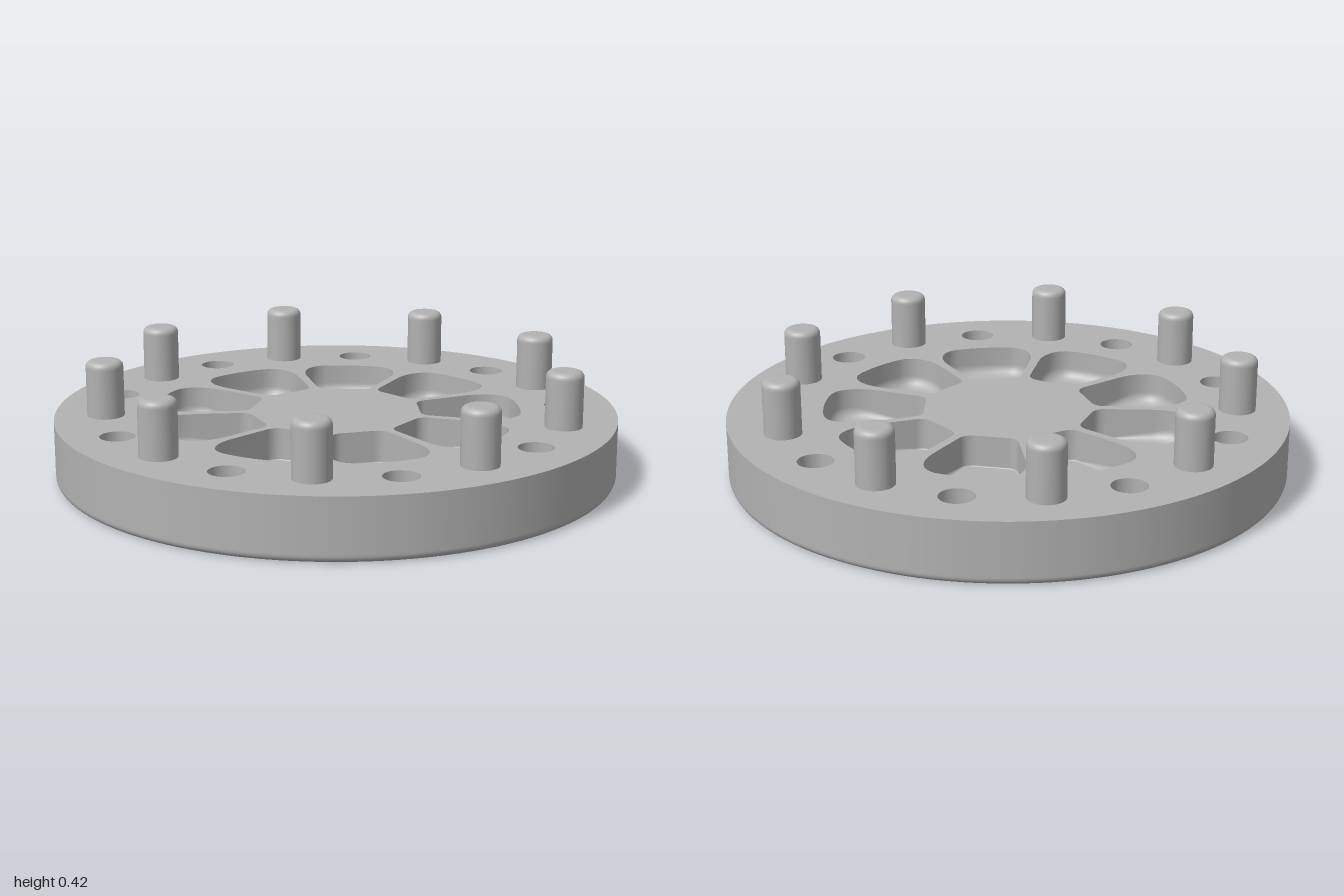
import * as THREE from 'three';

const V = (x, y) => new THREE.Vector2(x, y);
const COUNT = 9, TOP = 0.22, FLOOR = 0.105;
const PITCH = 0.818;                    // circle of pins and outer holes
const HOLE_R = 0.062, EDGE = 0.018;     // through holes, rounded at the bottom
const PORT_Z = 0.53, PORT_R = 0.077;    // hole in each pocket floor
const RIM = 0.025;                      // rounded lower rim of the disc
const SEG = 40;

const circle = (r, n, cz = 0) => Array.from({ length: n }, (_, i) => {
  const a = (i / n) * Math.PI * 2;
  return V(r * Math.sin(a), cz + r * Math.cos(a));
});
const spin = (pts, a) => pts.map(p => V(
  p.x * Math.cos(a) + p.y * Math.sin(a), -p.x * Math.sin(a) + p.y * Math.cos(a)));
const quarter = (n, fn) => Array.from({ length: n + 1 }, (_, i) => fn((i / n) * Math.PI / 2));

// Flat face from (x, z) outlines, facing up or down
function plate(outline, holes, y, up) {
  const s = up ? -1 : 1;
  const conv = pts => pts.map(p => V(p.x, p.y * s));
  const shape = new THREE.Shape(conv(outline));
  shape.holes = holes.map(h => new THREE.Path(conv(h)));
  return new THREE.ShapeGeometry(shape).rotateX(s * Math.PI / 2).translate(0, y, 0);
}

// Bore wall facing inward, flared at the bottom
function bore(r, top) {
  return new THREE.LatheGeometry([
    V(r, top), V(r, EDGE + 0.004),
    ...quarter(6, t => V(r + EDGE - EDGE * Math.cos(t), EDGE - EDGE * Math.sin(t))),
  ], SEG);
}

// Rounded wedge outline of a pocket, in (x, z)
function pocketOutline() {
  const s = new THREE.Shape();
  s.moveTo(0, 0.298);
  s.lineTo(0.055, 0.298);
  s.quadraticCurveTo(0.094, 0.298, 0.106, 0.335);
  s.lineTo(0.160, 0.49);
  s.bezierCurveTo(0.183, 0.56, 0.168, 0.63, 0.11, 0.648);
  s.quadraticCurveTo(0.06, 0.66, 0, 0.66);
  const half = s.getPoints(10);
  return [...half, ...half.slice(1, -1).reverse().map(p => V(-p.x, p.y))];
}

// Pocket wall: upright, then a fillet that widens toward the outer end
function pocketWall(outline) {
  const n = outline.length, pos = [], idx = [];
  const inset = (k, h) => outline.map((p, j) => {
    const t = outline[(j + 1) % n].clone().sub(outline[(j + n - 1) % n]).normalize();
    const f = 0.005 + 0.04 * THREE.MathUtils.smoothstep(p.y, 0.33, 0.6);
    return { x: p.x - t.y * f * k, z: p.y + t.x * f * k, y: FLOOR + f * h };
  });
  const rings = [
    outline.map(p => ({ x: p.x, y: TOP, z: p.y })),
    ...quarter(7, t => inset(1 - Math.cos(t), 1 - Math.sin(t))),
  ];
  rings.forEach((ring, i) => ring.forEach((p, j) => {
    pos.push(p.x, p.y, p.z);
    if (i === rings.length - 1) return;
    const a = i * n + j, b = i * n + (j + 1) % n;
    idx.push(a, a + n, b, b, a + n, b + n);
  }));
  const g = new THREE.BufferGeometry();
  g.setAttribute('position', new THREE.Float32BufferAttribute(pos, 3));
  g.setIndex(idx);
  g.computeVertexNormals();
  return { wall: g, floorEdge: rings.at(-1).map(p => V(p.x, p.z)) };
}

export function createModel() {
  const model = new THREE.Group();
  model.name = 'pinDisc';
  const grey = new THREE.MeshStandardMaterial({ color: 0xb2b2b2 });
  grey.name = 'grey';
  const add = (parent, name, geo, z = 0) => {
    const m = new THREE.Mesh(geo, grey);
    m.name = name;
    m.position.z = z;
    parent.add(m);
  };

  const angles = Array.from({ length: COUNT }, (_, i) => (i / COUNT) * Math.PI * 2);
  const around = pts => angles.map(a => spin(pts, a));
  const outline = pocketOutline();
  const { wall, floorEdge } = pocketWall(outline);

  // Disc: top face, underside and rim
  add(model, 'topFace', plate(circle(1, 128),
    [...around(outline), ...around(circle(HOLE_R, SEG, PITCH))], TOP, true));
  add(model, 'underside', plate(circle(1 - RIM, 128),
    [...around(circle(PORT_R + EDGE, SEG, PORT_Z)),
      ...around(circle(HOLE_R + EDGE, SEG, PITCH))], 0, false));
  add(model, 'rim', new THREE.LatheGeometry([
    ...quarter(7, t => V(1 - RIM + RIM * Math.sin(t), RIM - RIM * Math.cos(t))),
    V(1, RIM + 0.004), V(1, TOP)], 128));

  // Shared shapes for the repeated parts
  const floor = plate(floorEdge, [circle(PORT_R, SEG, PORT_Z)], FLOOR, true);
  const port = bore(PORT_R, FLOOR);
  const hole = bore(HOLE_R, TOP);
  const r = 0.066, f = 0.022, h = 0.42;
  const pin = new THREE.LatheGeometry([
    V(r, TOP), V(r, h - f - 0.004),
    ...quarter(6, t => V(r - f + f * Math.cos(t), h - f + f * Math.sin(t))),
    V(r - f - 0.004, h), V(0, h)], SEG);

  angles.forEach(a => {
    // Pocket with its port, and the through hole outside it
    const sector = new THREE.Group();
    sector.name = 'pocketSector';
    sector.rotation.y = a;
    add(sector, 'pocketWall', wall);
    add(sector, 'pocketFloor', floor);
    add(sector, 'pocketPort', port, PORT_Z);
    add(sector, 'throughHole', hole, PITCH);
    // Pin, half a step further round
    const pinArm = new THREE.Group();
    pinArm.name = 'pinPosition';
    pinArm.rotation.y = a + Math.PI / COUNT;
    add(pinArm, 'pin', pin, PITCH);
    model.add(sector, pinArm);
  });
  return model;
}
